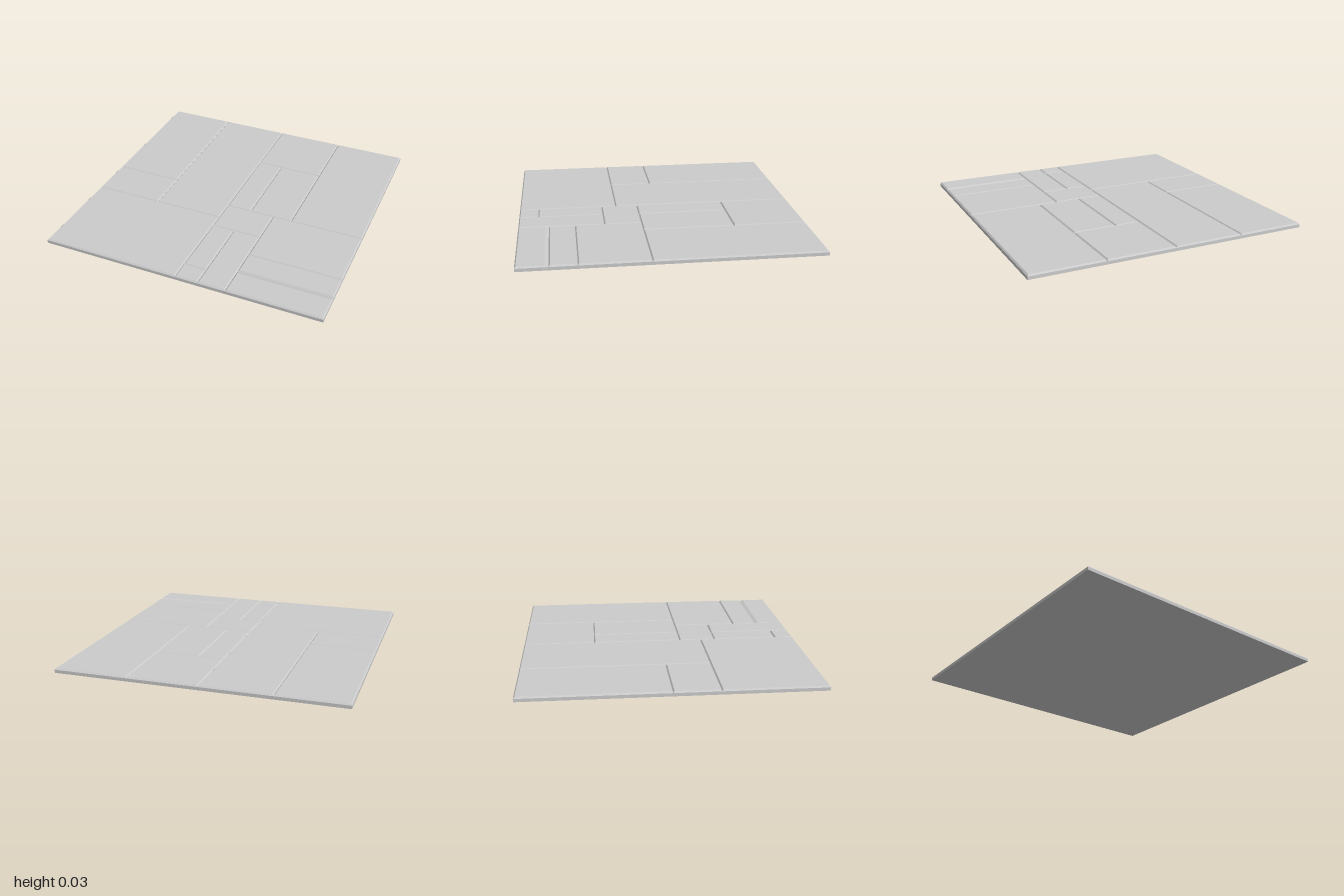
import * as THREE from 'three';

const material = new THREE.MeshStandardMaterial({ color: 0xcccccc, flatShading: true });
const X = 0.995, Z = 1;
const BASE = 0.022, TOP = 0.032, BEVEL = 0.009;

// Each panel: x0, z0, x1, z1, optional bevel width along the back edge
const panels = [
  [-X, -Z, -0.51, -0.01],
  [-X, -0.01, -0.51, 0.3],
  [-0.51, -Z, -0.015, 0.3],
  [-X, 0.3, -0.015, Z],
  [-0.015, -Z, 0.475, -0.49],
  [0.475, -Z, X, 0.145],
  [-0.015, -0.49, 0.165, 0.145],
  [0.165, -0.49, 0.475, 0.145],
  [-0.015, 0.145, 0.34, 0.405],
  [0.34, 0.145, X, 0.61],
  [0.34, 0.61, X, 0.79],
  [0.34, 0.79, X, Z, 0.025],
  [-0.015, 0.405, 0.145, 0.865],
  [-0.015, 0.865, 0.145, Z],
  [0.145, 0.405, 0.34, Z],
];

// Shallow slab whose top corners are drawn in to form sloped edges
function bevelledPanel([x0, z0, x1, z1, back = BEVEL]) {
  const geo = new THREE.BoxGeometry(x1 - x0, TOP - BASE, z1 - z0);
  geo.translate((x0 + x1) / 2, (BASE + TOP) / 2, (z0 + z1) / 2);
  const p = geo.attributes.position;
  for (let i = 0; i < p.count; i++) {
    if (p.getY(i) < (BASE + TOP) / 2) continue;
    p.setX(i, p.getX(i) < (x0 + x1) / 2 ? x0 + BEVEL : x1 - BEVEL);
    p.setZ(i, p.getZ(i) < (z0 + z1) / 2 ? z0 + back : z1 - BEVEL);
  }
  geo.computeVertexNormals();
  return geo;
}

export function createModel() {
  const group = new THREE.Group();
  group.name = 'panelledFloor';

  // Flat backing slab
  const base = new THREE.Mesh(new THREE.BoxGeometry(2 * X, BASE, 2 * Z), material);
  base.name = 'baseSlab';
  base.position.y = BASE / 2;
  group.add(base);

  // Bevelled panels meeting in V-shaped grooves
  panels.forEach((panel, i) => {
    const mesh = new THREE.Mesh(bevelledPanel(panel), material);
    mesh.name = `panel${i + 1}`;
    group.add(mesh);
  });
  return group;
}
